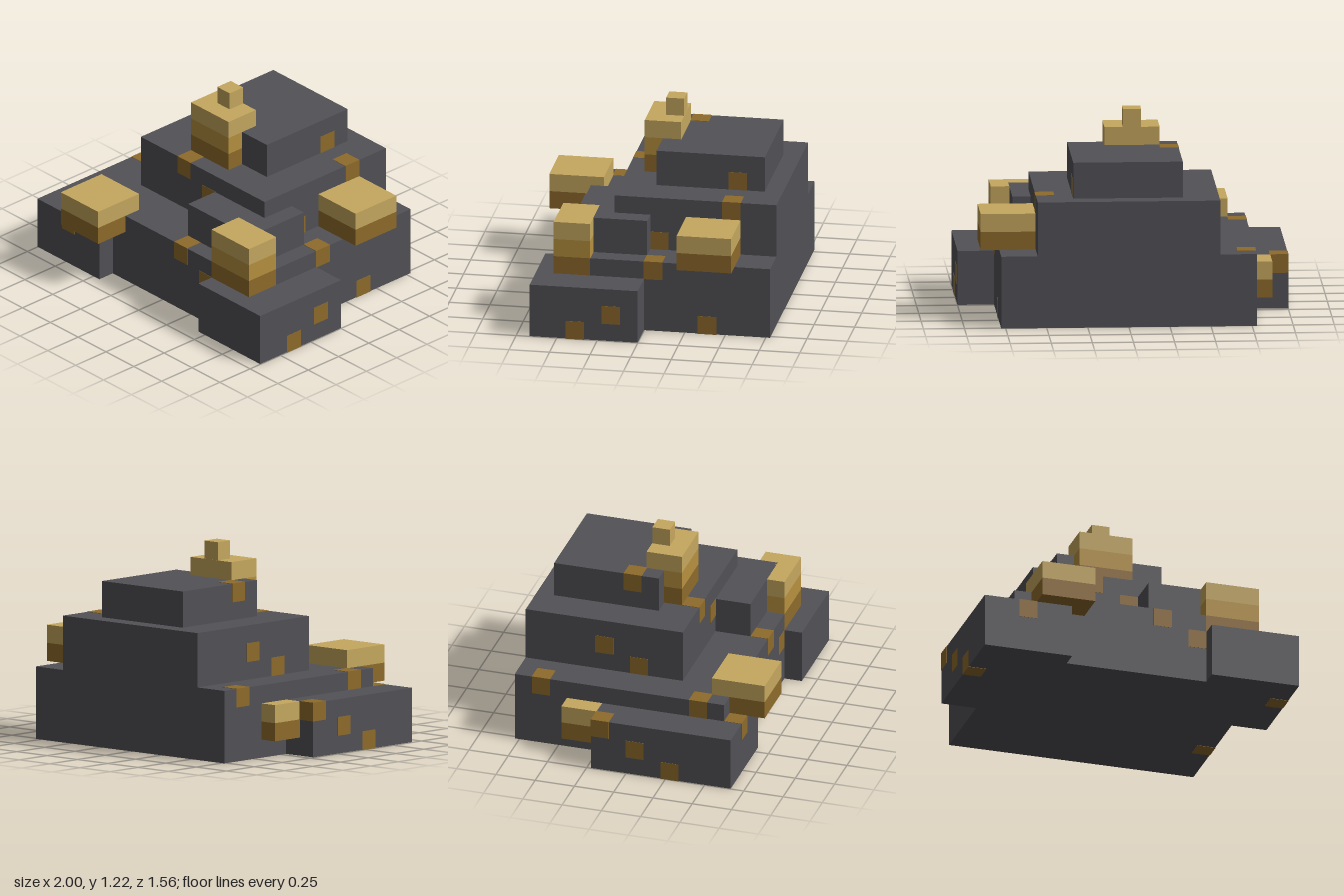
import * as THREE from 'three';

const U = 1 / 9; // one grid cell

const mat = (name, color) => {
  const m = new THREE.MeshStandardMaterial({ color });
  m.name = name;
  return m;
};

export function createModel() {
  const stone = mat('dark stone', 0x525257);
  const pale = mat('pale gold', 0xc6a85f);
  const gold = mat('gold', 0xb8913f);
  const bronze = mat('bronze', 0x8f6b2b);

  const root = new THREE.Group();
  root.name = 'steppedRuin';

  // Box between two corners in grid cells; grow pushes the sides out slightly
  function block(parent, name, material, [x0, y0, z0], [x1, y1, z1], grow = 0, growY = 0) {
    const mesh = new THREE.Mesh(
      new THREE.BoxGeometry((x1 - x0) * U + 2 * grow, (y1 - y0) * U + 2 * growY, (z1 - z0) * U + 2 * grow),
      material
    );
    mesh.position.set((x0 + x1) * U / 2, (y0 + y1) * U / 2, (z0 + z1) * U / 2);
    mesh.name = name;
    parent.add(mesh);
  }

  // Stone terraces
  block(root, 'baseTerrace', stone, [-7, 0, -7], [7, 4, 5]);
  block(root, 'leftWing', stone, [4, 0, 0], [9, 3, 6]);
  block(root, 'rightWing', stone, [-9, 0, -2], [-4, 3, 6]);
  block(root, 'middleTerrace', stone, [-5, 4, -7], [5, 7, 2]);
  block(root, 'raisedLedge', stone, [1, 4, 0], [6, 6, 4]);
  block(root, 'summitBlock', stone, [-3, 7, -6], [3, 9, 0]);

  // Gold pedestals, one cell per layer from the bottom up
  function pedestal(name, [x0, x1], [z0, z1], y, layers) {
    const group = new THREE.Group();
    group.name = name;
    layers.forEach((m, i) =>
      block(group, 'pedestalLayer', m, [x0, y + i, z0], [x1, y + i + 1, z1], 0.0015));
    root.add(group);
    return group;
  }
  pedestal('frontLeftPedestal', [4, 7], [3, 5], 3, [bronze, gold, pale]);
  pedestal('frontRightPedestal', [-6, -3], [4, 7], 3, [bronze, pale]);
  pedestal('leftPedestal', [5, 8], [-5, -2], 4, [bronze, pale]);
  pedestal('rightBracket', [-8, -7], [-4, -2], 1, [bronze, pale]);
  const crown = pedestal('summitPedestal', [-2, 1], [-1, 1], 7, [bronze, gold, pale]);
  block(crown, 'finial', pale, [-1, 10, -1], [0, 11, 0]);

  // Bronze inlays set into the stone, by lowest grid corner
  const inlays = new THREE.Group();
  inlays.name = 'bronzeInlays';
  root.add(inlays);
  [
    [-7, 3, -6], [-9, 2, -2], [4, 6, -5], [2, 7, -5], [-3, 8, -2], [6, 3, -1],
    [4, 4, -1], [-2, 6, 1], [-7, 3, 3], [-7, 2, 5], [1, 3, 4], [0, 5, 1],
    [3, 2, 4], [8, 1, 1], [8, 0, 3], [6, 0, -4], [-9, 0, 2], [-9, 1, 0],
    [-5, 4, -1], [-5, 5, -3],
  ].forEach(([x, y, z]) =>
    block(inlays, 'inlay', bronze, [x, y, z], [x + 1, y + 1, z + 1], 0.002, 0.002));

  return root;
}
